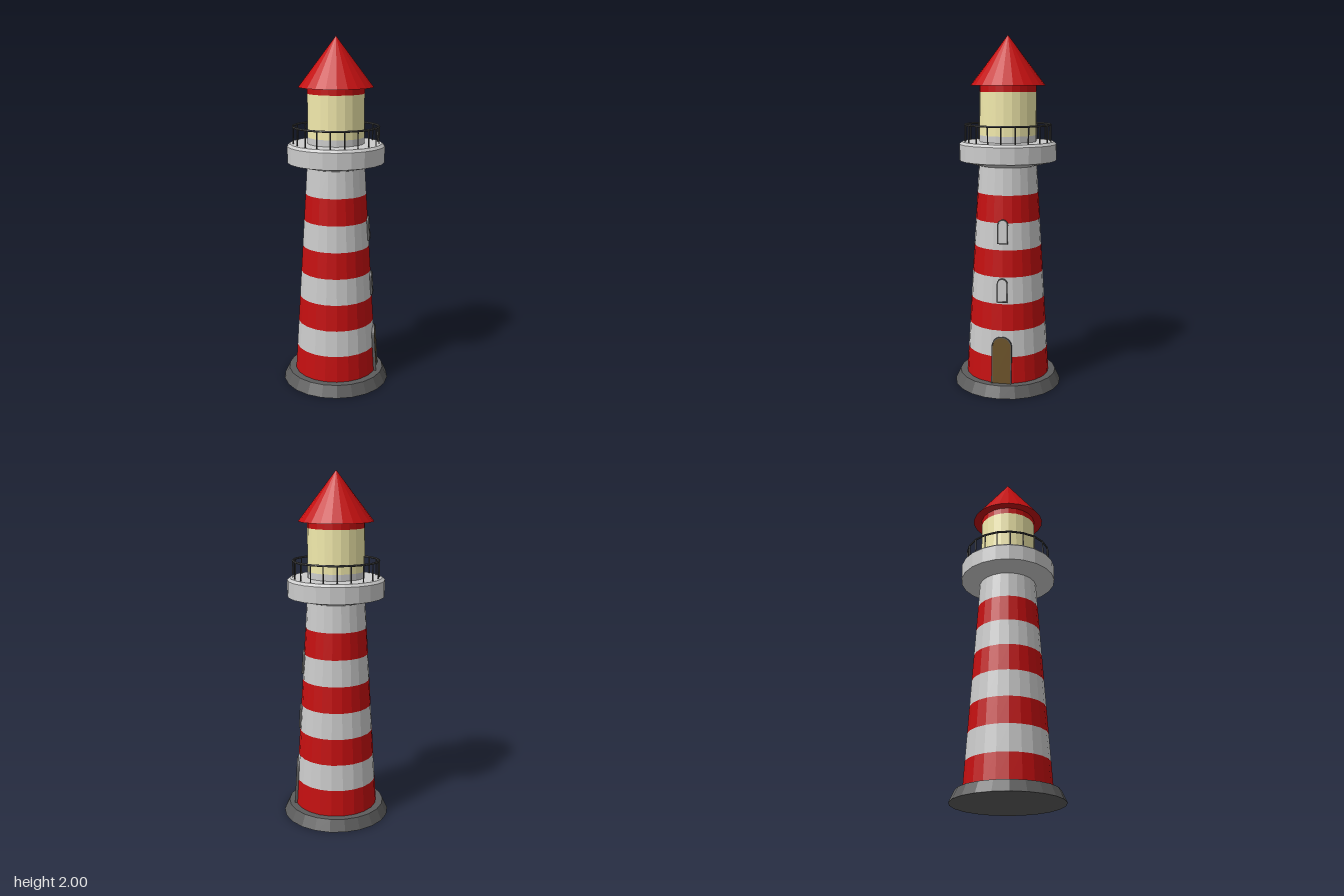
import * as THREE from 'three';

const SIDES = 22;
const RED = 0xc40f10, GREY = 0xcccccc, DARK = 0x5c5c5c, IRON = 0x484848, GLASS = 0xf2eaac, WOOD = 0x6b5228;
const Y0 = 0.065, Y1 = 1.28, R0 = 0.24, R1 = 0.165;
const towerRadius = (y) => R0 + (R1 - R0) * (y - Y0) / (Y1 - Y0);
const lean = Math.atan((R0 - R1) / (Y1 - Y0));

const material = (color) => new THREE.MeshStandardMaterial({ color, flatShading: true });

function add(parent, name, geometry, color) {
  const mesh = new THREE.Mesh(geometry, material(color));
  mesh.name = name;
  parent.add(mesh);
  return mesh;
}

// Faceted ring of wall between two heights, with a corner facing +x
function frustum(parent, name, rBottom, rTop, yBottom, yTop, color, open = false) {
  const g = new THREE.CylinderGeometry(rTop, rBottom, yTop - yBottom, SIDES, 1, open, Math.PI / 2);
  g.translate(0, (yBottom + yTop) / 2, 0);
  return add(parent, name, g, color);
}

// Arched outline standing on y = 0
function arch(path, halfWidth, height, bottom = 0) {
  path.moveTo(-halfWidth, bottom);
  path.lineTo(halfWidth, bottom);
  path.lineTo(halfWidth, height - halfWidth);
  path.absarc(0, height - halfWidth, halfWidth, 0, Math.PI, false);
  path.lineTo(-halfWidth, bottom);
  return path;
}

// Framed arched opening set on the +x side, leaning with the wall
function opening(parent, name, y, halfWidth, height, trim, sill, color) {
  const group = new THREE.Group();
  group.name = name;
  const outline = arch(new THREE.Shape(), halfWidth, height);
  outline.holes.push(arch(new THREE.Path(), halfWidth - trim, height - trim, sill));
  const panel = arch(new THREE.Shape(), halfWidth - trim, height - trim, sill);
  const extrude = (shape, out) => new THREE.ExtrudeGeometry(shape, { depth: out + 0.03, bevelEnabled: false, curveSegments: 8 })
    .translate(0, 0, -0.03).rotateY(Math.PI / 2);
  add(group, name + 'Frame', extrude(outline, 0.008), DARK);
  add(group, name + 'Panel', extrude(panel, 0.003), color);
  group.position.set(towerRadius(y), y, 0);
  group.rotation.z = lean;
  parent.add(group);
}

export function createModel() {
  const model = new THREE.Group();
  model.name = 'lighthouse';

  frustum(model, 'base', 0.31, 0.28, 0, Y0, DARK);

  // Striped tower
  const tower = new THREE.Group();
  tower.name = 'tower';
  model.add(tower);
  const bands = 8, step = (Y1 - Y0) / bands;
  for (let i = 0; i < bands; i++) {
    const a = Y0 + i * step, b = a + step;
    frustum(tower, i % 2 ? 'paleStripe' : 'redStripe', towerRadius(a), towerRadius(b), a, b, i % 2 ? GREY : RED, true);
  }
  opening(tower, 'door', Y0, 0.057, 0.27, 0.006, 0, WOOD);
  opening(tower, 'lowerWindow', 0.53, 0.03, 0.137, 0.007, 0.007, GREY);
  opening(tower, 'upperWindow', 0.86, 0.03, 0.137, 0.007, 0.007, GREY);

  // Gallery platform
  const profile = [[0.15, 1.28], [0.165, 1.28], [0.275, 1.308], [0.275, 1.4], [0.26, 1.414], [0.12, 1.414]]
    .map(([x, y]) => new THREE.Vector2(x, y));
  add(model, 'gallery', new THREE.LatheGeometry(profile, SIDES, Math.PI / 2), GREY);

  // Railing
  const railing = new THREE.Group();
  railing.name = 'railing';
  model.add(railing);
  const posts = 20, railRadius = 0.242;
  const rail = new THREE.TorusGeometry(railRadius, 0.006, 6, posts).rotateX(Math.PI / 2).translate(0, 1.508, 0);
  add(railing, 'handrail', rail, IRON);
  const postGeometry = new THREE.CylinderGeometry(0.004, 0.004, 0.1, 6);
  for (let i = 0; i < posts; i++) {
    const a = i / posts * Math.PI * 2;
    add(railing, 'post', postGeometry, IRON).position.set(railRadius * Math.cos(a), 1.458, railRadius * Math.sin(a));
  }

  // Lantern room and roof
  frustum(model, 'lanternSill', 0.16, 0.16, 1.41, 1.45, GREY);
  frustum(model, 'lantern', 0.16, 0.16, 1.45, 1.69, GLASS);
  frustum(model, 'roofCollar', 0.16, 0.16, 1.69, 1.725, RED);
  frustum(model, 'roof', 0.21, 0, 1.725, 2, RED);

  return model;
}
